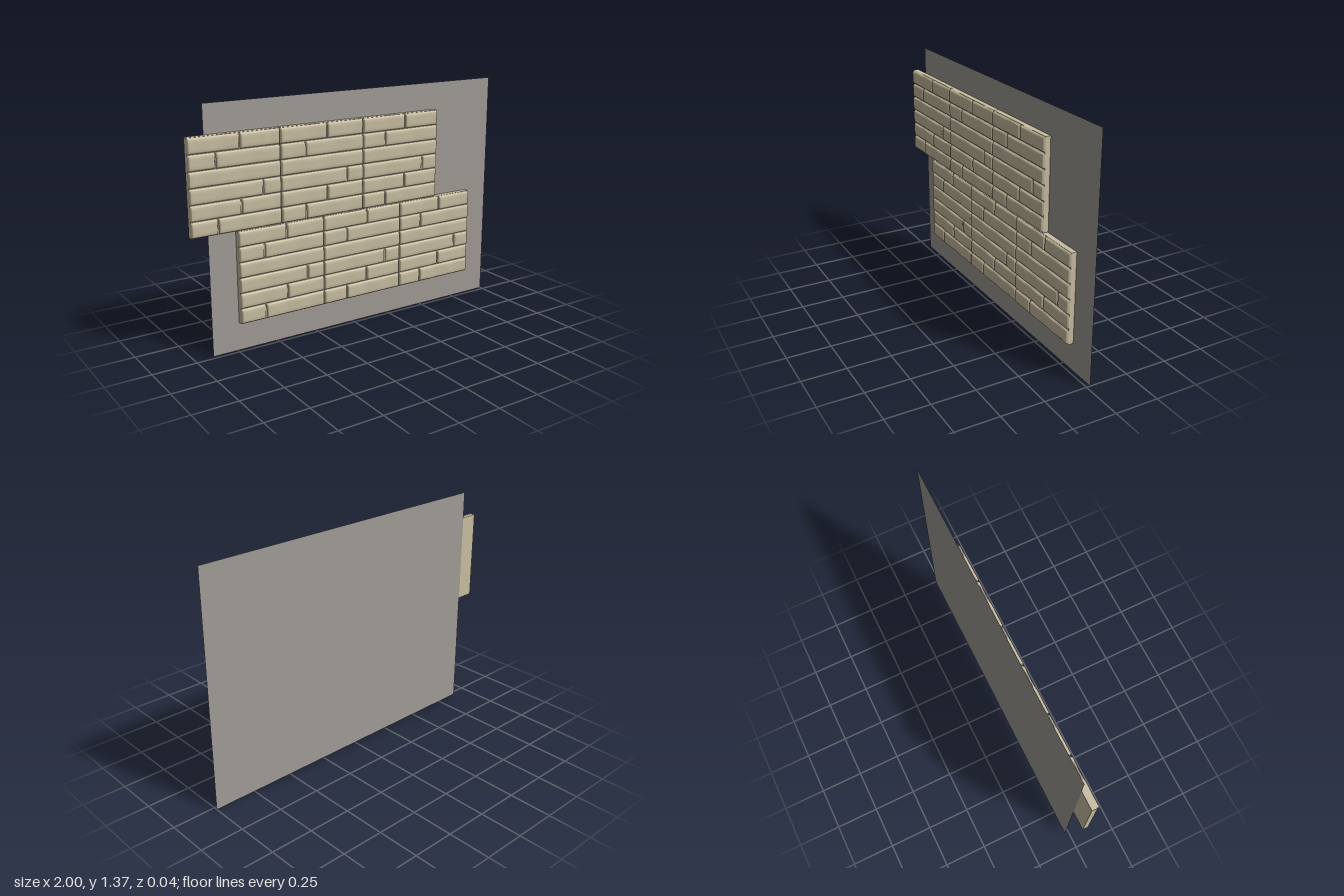
import * as THREE from 'three';
import { mergeGeometries } from 'three/addons/utils/BufferGeometryUtils.js';

const TILE = 0.522, PITCH = 0.526;         // tile size and spacing
const BACK = -0.0215, BASE = 0.009, FRONT = 0.0225;

// Vertical joints and surface dips per course, top to bottom, as fractions of the tile width
const COURSES = [
  { joints: [0.55], dips: [0.3, 0.86] },
  { joints: [0.29], dips: [0.12, 0.64] },
  { joints: [], dips: [0.1, 0.52] },
  { joints: [0.8], dips: [0.26, 0.7] },
  { joints: [0.55], dips: [0.2, 0.9] },
  { joints: [0.29], dips: [0.5, 0.8] },
];

const smooth = (a, b, x) => THREE.MathUtils.smoothstep(x, a, b);

// Hand-cut stone relief: the face drops quickly at each dip and recovers slowly
function relief(u, v, dips, row) {
  let drop = 0.0005 * (1 + Math.sin(u * 19 + row * 2));
  for (const d of dips) {
    drop += 0.0045 * smooth(d - 0.05, d + 0.04, u) * (1 - smooth(d + 0.07, d + 0.24, u)) * (1.1 - 0.5 * v);
  }
  return drop;
}

// Sample positions along an edge, packed at both bevels
function samples(length, bevel, n) {
  const list = [0, bevel * 0.5, bevel];
  for (let i = 1; i < n; i++) list.push(bevel + (length - 2 * bevel) * i / n);
  return [...list, length - bevel, length - bevel * 0.5, length];
}

// One brick: a bevelled height field standing on the slab
function brick(x0, x1, y0, y1, row) {
  const xs = samples(x1 - x0, 0.007, 18), ys = samples(y1 - y0, 0.011, 4);
  const g = new THREE.PlaneGeometry(1, 1, xs.length - 1, ys.length - 1);
  const p = g.attributes.position;
  const rise = (d, b) => Math.sin(Math.min(d / b, 1) * Math.PI / 2);
  for (let j = 0; j < ys.length; j++) for (let i = 0; i < xs.length; i++) {
    const x = x0 + xs[i], y = y1 - ys[j];
    const edge = rise(Math.min(x - x0, x1 - x), 0.007) * rise(Math.min(y - y0, y1 - y), 0.011);
    const u = x / TILE + 0.5, v = (y - y0) / (y1 - y0);
    const drop = relief(u, v, COURSES[row].dips, row);
    p.setXYZ(j * xs.length + i, x, y, BASE + (FRONT - BASE - drop) * edge);
  }
  g.computeVertexNormals();
  return g;
}

// All bricks of one tile
function brickFace() {
  const parts = [], h = TILE / COURSES.length, half = TILE / 2;
  COURSES.forEach(({ joints }, row) => {
    const top = half - row * h;
    const stops = [0, ...joints, 1].map(u => u * TILE - half);
    for (let i = 0; i + 1 < stops.length; i++) {
      const left = stops[i] + (i ? 0.003 : 0), right = stops[i + 1] - (i + 2 < stops.length ? 0.003 : 0);
      parts.push(brick(left, right, top - h + 0.001, top - 0.001, row));
    }
  });
  return mergeGeometries(parts);
}

export function createModel() {
  const stone = new THREE.MeshStandardMaterial({ color: 0xc8bda1 });
  stone.name = 'sandstone';
  const grey = new THREE.MeshStandardMaterial({ color: 0x9f9a95, side: THREE.DoubleSide });
  grey.name = 'wall grey';

  const model = new THREE.Group();
  model.name = 'stoneWallPanels';

  // Flat wall sheet behind the tiles
  const wall = new THREE.Mesh(new THREE.PlaneGeometry(1.895, 1.37), grey);
  wall.name = 'wallSheet';
  wall.position.set(0.0525, 0.685, -0.0225);
  model.add(wall);

  // Two staggered rows of three tiles
  const slabGeometry = new THREE.BoxGeometry(TILE, TILE, BASE - BACK);
  const faceGeometry = brickFace();
  [{ x: -1, y: 0.689 }, { x: -0.737, y: 0.163 }].forEach((start, r) => {
    for (let i = 0; i < 3; i++) {
      const tile = new THREE.Group();
      tile.name = `${r ? 'lower' : 'upper'}Tile${i + 1}`;
      const slab = new THREE.Mesh(slabGeometry, stone);
      slab.name = 'slab';
      slab.position.z = (BASE + BACK) / 2;
      const bricks = new THREE.Mesh(faceGeometry, stone);
      bricks.name = 'bricks';
      tile.add(slab, bricks);
      tile.position.set(start.x + TILE / 2 + i * PITCH, start.y + TILE / 2, 0);
      model.add(tile);
    }
  });
  return model;
}
